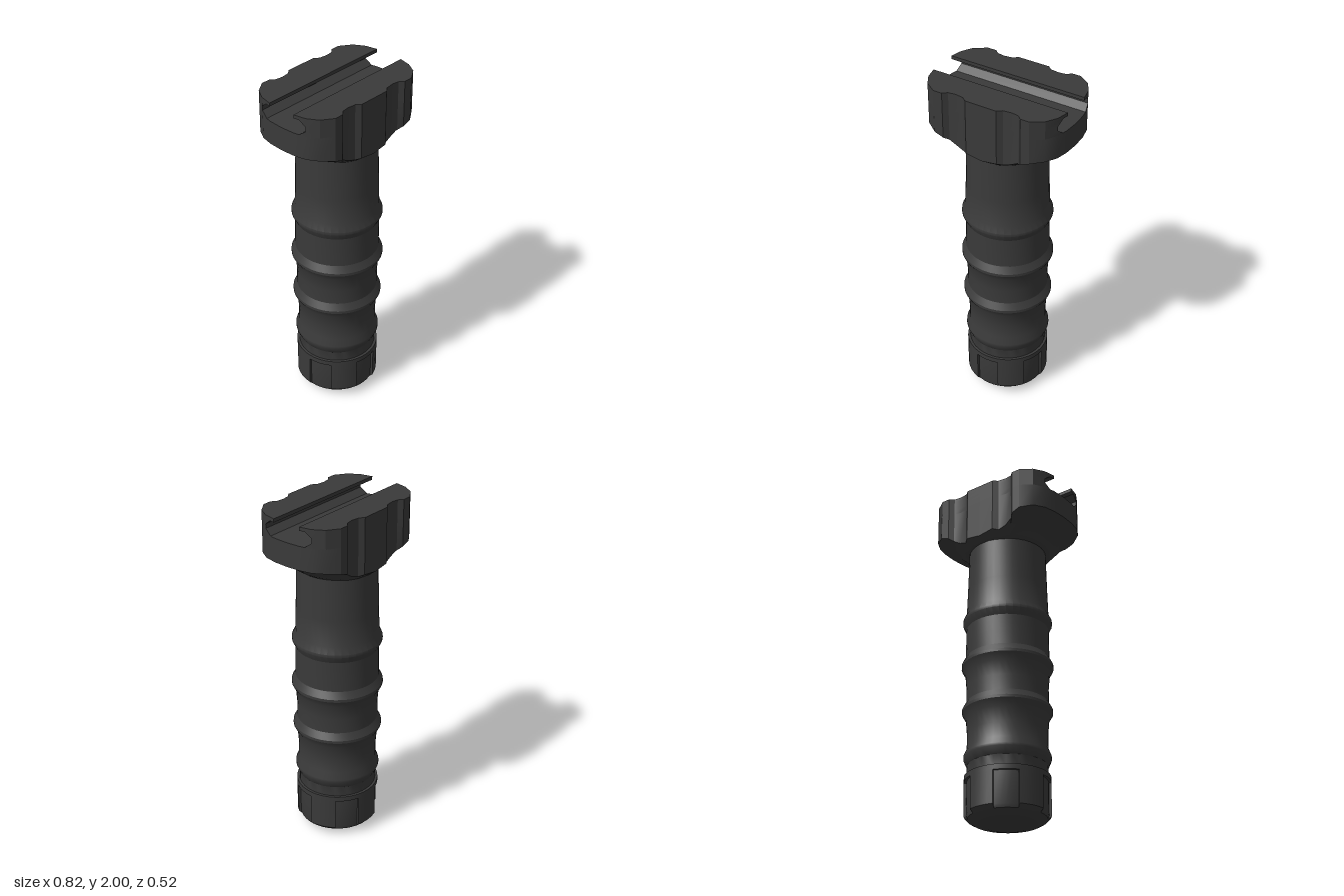
import * as THREE from 'three';
import { toCreasedNormals } from 'three/addons/utils/BufferGeometryUtils.js';

const material = new THREE.MeshStandardMaterial({ color: 0x3a3a3a });

// Skin a stack of closed rings (bottom to top, counterclockwise from above)
function loft(rings, crease) {
  const pos = [];
  const tri = (a, b, c) => {
    const area = new THREE.Vector3().subVectors(b, a).cross(new THREE.Vector3().subVectors(c, a)).length();
    if (area > 1e-9) for (const v of [a, b, c]) pos.push(v.x, v.y, v.z);
  };
  for (let k = 0; k + 1 < rings.length; k++) {
    const lo = rings[k], hi = rings[k + 1], n = lo.length;
    for (let i = 0; i < n; i++) {
      const j = (i + 1) % n;
      tri(lo[i], lo[j], hi[j]);
      tri(lo[i], hi[j], hi[i]);
    }
  }
  const g = new THREE.BufferGeometry();
  g.setAttribute('position', new THREE.Float32BufferAttribute(pos, 3));
  return toCreasedNormals(g, crease);
}

// Linear lookup in a table of [input, output], inputs rising
function lookup(table, v) {
  if (v <= table[0][0]) return table[0][1];
  for (let i = 1; i < table.length; i++) {
    const [a, fa] = table[i - 1], [b, fb] = table[i];
    if (v <= b) return fa + (fb - fa) * (v - a) / (b - a);
  }
  return table[table.length - 1][1];
}

function add(group, name, geometry) {
  const m = new THREE.Mesh(geometry, material);
  m.name = name;
  group.add(m);
  return m;
}

const V = (x, y, z) => new THREE.Vector3(x, y, z);

// One quarter of the clamp plan, as [x, z] from the front centre to the side
const quarter = [[0, 0.262], [0.093, 0.262], [0.12, 0.24], [0.168, 0.234], [0.21, 0.24], [0.235, 0.262],
  [0.287, 0.262], [0.353, 0.217], [0.39, 0.155], [0.405, 0.085], [0.41, 0]];
const frontHalf = [...quarter.slice(1).reverse().map(([x, z]) => [-x, z]), ...quarter];
const plan = [...frontHalf, ...frontHalf.slice(1, -1).map(([x, z]) => [-x, -z])];

// Height of the flared underside by distance from the axis
const flare = [[0.2, 1.625], [0.22, 1.635], [0.26, 1.665], [0.32, 1.715], [0.41, 1.76]];
const SLOT_FLOOR = 1.895;

function clampBody() {
  const rings = [0, 0.25, 0.5, 0.75, 1].map((t) => plan.map(([x, z]) => {
    const full = Math.hypot(x, z), r = 0.2 + (full - 0.2) * t;
    return V(x * r / full, lookup(flare, r), z * r / full);
  }));
  rings.push(plan.map(([x, z]) => V(x, SLOT_FLOOR, z)));
  rings.push(plan.map(([x]) => V(x, SLOT_FLOOR, 0)));
  return loft(rings, 0.5);
}

// Jaw beside the rail slot; each level is the plan cut off at the slot wall
function clampJaw() {
  const sideX = quarter.slice(6).reverse().map(([x, z]) => [z, x]);
  const levels = [[SLOT_FLOOR, 0.116], [1.925, 0.155], [1.95, 0.155], [1.98, 0.116], [1.98, 0.085], [2, 0.085]];
  const rings = levels.map(([y, wall]) => {
    const limit = lookup(sideX, wall);
    return frontHalf.map(([x, z]) => V(THREE.MathUtils.clamp(x, -limit, limit), y, Math.max(z, wall)));
  });
  rings.push(rings[rings.length - 1].map((p) => V(p.x, 2, 0.085)));
  return loft(rings, 0.4);
}

// Handle with four raised finger ridges
function grip() {
  const pts = [[0.222, 0.26], [0.222, 0.335]];
  const ridges = [[0.385, 0.245, 0.224], [0.655, 0.256, 0.23], [0.925, 0.262, 0.236], [1.2, 0.257, 0.234]];
  ridges.forEach(([y, peak, base], i) => {
    pts.push([base, y - 0.048], [peak - 0.004, y - 0.008], [peak - 0.004, y + 0.008], [base, y + 0.048]);
    if (i < 3) pts.push([base - 0.001, y + 0.135]);
  });
  pts.push([0.229, 1.4], [0.222, 1.66]);
  const g = new THREE.LatheGeometry(pts.map(([r, y]) => new THREE.Vector2(r, y)), 40);
  return toCreasedNormals(g, 0.45);
}

// Screw cap with five shallow recesses around its side
function endCap() {
  const angles = [], half = 0.3;
  for (let k = 0; k < 5; k++) {
    const mid = k * Math.PI * 0.4;
    angles.push([mid - half, false]);
    for (let i = 0; i <= 4; i++) angles.push([mid - half + i * half / 2, true]);
    for (let i = 0; i < 4; i++) angles.push([mid + half + i * (Math.PI * 0.4 - 2 * half) / 4, false]);
  }
  const profile = [[0, 0], [0.01, 0.13], [0.025, 0.19], [0.04, 0.217], [0.06, 0.236], [0.245, 0.237],
    [0.245, 0.237], [0.275, 0.237], [0.275, 0.2]];
  const rings = profile.map(([y, r], k) => angles.map(([a, recess]) => {
    const rr = recess && k < 6 ? Math.min(r, 0.222) : r;
    return V(rr * Math.sin(a), y, rr * Math.cos(a));
  }));
  return loft(rings, 0.5);
}

export function createModel() {
  const group = new THREE.Group();
  group.name = 'verticalGrip';
  add(group, 'grip', grip());
  add(group, 'endCap', endCap());
  add(group, 'clampBody', clampBody());
  const jaw = clampJaw();
  add(group, 'frontJaw', jaw);
  add(group, 'backJaw', jaw).rotation.y = Math.PI;
  return group;
}
